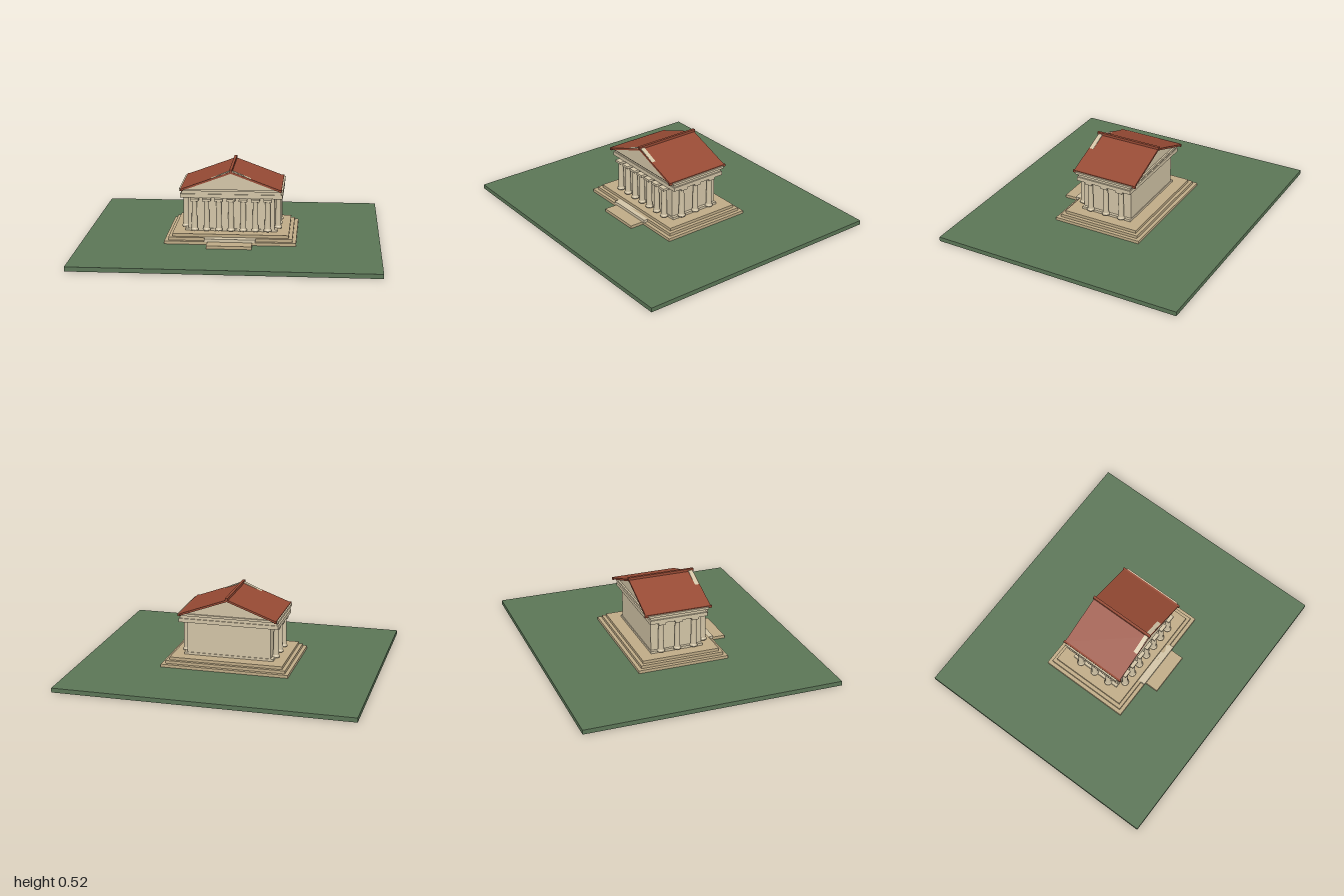
import * as THREE from 'three';

const mat = (color) => new THREE.MeshStandardMaterial({ color });

export function createModel() {
  const model = new THREE.Group();
  const grass = mat(0x5b7556), stone = mat(0xd2c4a6), step = mat(0xbfab86), roofRed = mat(0x964a34);

  const add = (name, geometry, material, parent = model) => {
    const mesh = new THREE.Mesh(geometry, material);
    mesh.name = name;
    parent.add(mesh);
    return mesh;
  };

  // Box given by its extents
  const box = (name, material, x0, x1, y0, y1, z0, z1) => {
    const mesh = add(name, new THREE.BoxGeometry(x1 - x0, y1 - y0, z1 - z0), material);
    mesh.position.set((x0 + x1) / 2, (y0 + y1) / 2, (z0 + z1) / 2);
    return mesh;
  };
  const slab = (name, material, halfX, y0, y1, halfZ) =>
    box(name, material, -halfX, halfX, y0, y1, -halfZ, halfZ);

  // Outline in x and y, extruded from z0 to z1
  const prism = (name, material, points, z0, z1) => {
    const shape = new THREE.Shape(points.map(([x, y]) => new THREE.Vector2(x, y)));
    const geometry = new THREE.ExtrudeGeometry(shape, { depth: z1 - z0, bevelEnabled: false });
    return add(name, geometry.translate(0, 0, z0), material);
  };

  // Ground and stepped platform
  slab('ground', grass, 1, 0, 0.03, 0.88);
  slab('lowerStep', step, 0.44, 0.03, 0.05, 0.317);
  slab('middleStep', step, 0.415, 0.05, 0.07, 0.292);
  slab('upperStep', step, 0.39, 0.07, 0.09, 0.27);
  slab('plinth', stone, 0.31, 0.09, 0.106, 0.185);

  // Entrance steps
  box('entranceLowerStep', step, -0.15, 0.15, 0.03, 0.05, 0.3, 0.415);
  box('entranceUpperStep', stone, -0.17, 0.17, 0.05, 0.07, 0.27, 0.322);

  // Inner hall
  slab('hall', stone, 0.29, 0.1, 0.325, 0.18);

  // Columns: seven across the front, three on each side
  const profile = [[0, 0], [0.026, 0], [0.026, 0.01], [0.021, 0.015], [0.02, 0.02],
    [0.017, 0.196], [0.024, 0.204], [0.024, 0.206]].map(([r, y]) => new THREE.Vector2(r, y));
  const shaftGeometry = new THREE.LatheGeometry(profile, 16);
  const capGeometry = new THREE.BoxGeometry(0.056, 0.016, 0.05);
  const column = (name, x, z) => {
    const group = new THREE.Group();
    group.name = name;
    add('shaft', shaftGeometry, stone, group);
    add('capital', capGeometry, stone, group).position.y = 0.212;
    group.position.set(x, 0.102, z);
    model.add(group);
  };
  for (let i = -3; i <= 3; i++) column('frontColumn', i * 0.082, 0.212);
  for (const x of [-0.314, 0.314])
    for (const z of [-0.117, 0, 0.117]) column('sideColumn', x, z);

  // Entablature
  slab('architrave', stone, 0.345, 0.322, 0.348, 0.203);
  slab('frieze', stone, 0.335, 0.348, 0.37, 0.196);
  slab('cornice', stone, 0.35, 0.37, 0.385, 0.212);

  // Gable body and the front panel whose peak pushes through the roof
  prism('gable', stone, [[-0.32, 0.38], [0.32, 0.38], [0, 0.503]], -0.2, 0.2);
  prism('frontGablePanel', stone, [[-0.315, 0.385], [0.315, 0.385], [0, 0.518]], 0.197, 0.226);

  // Roof slopes, eaves and ridge
  for (const s of [-1, 1]) {
    const slope = [[0, 0.497], [s * 0.335, 0.373], [s * 0.335, 0.387], [0, 0.511]];
    prism('roofSlope', roofRed, slope, -0.23, 0.23);
    box('eaveTrim', roofRed, s * 0.332 - 0.007, s * 0.332 + 0.007, 0.374, 0.39, -0.237, 0.237);
  }
  slab('ridge', roofRed, 0.009, 0.505, 0.525, 0.236);

  return model;
}
